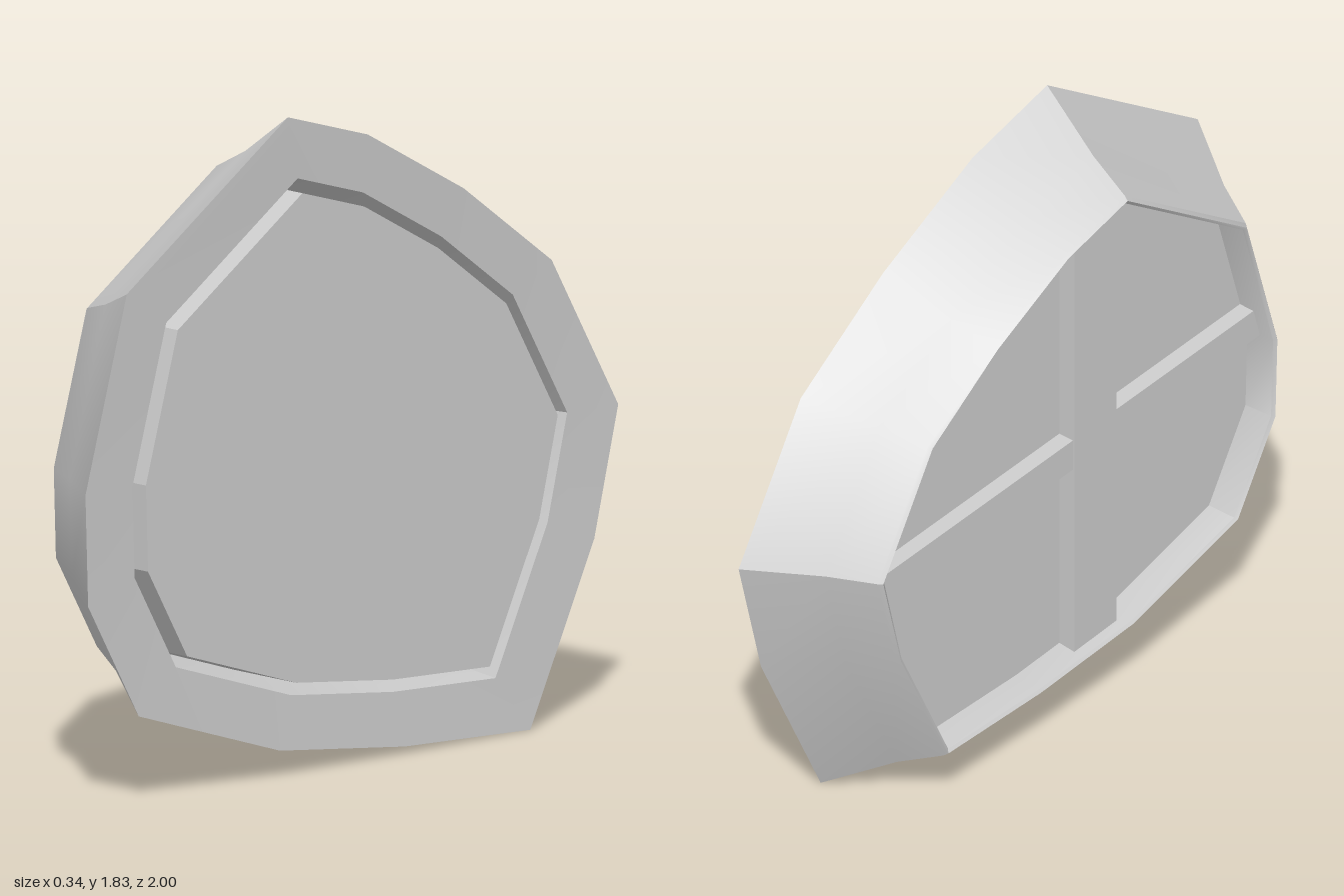
import * as THREE from 'three';
import { toCreasedNormals } from 'three/addons/utils/BufferGeometryUtils.js';

// Window outline as [z, y], seen from +x
const OUTLINE = [
  [0.24, 1.83], [-0.06, 1.74], [-0.42, 1.54], [-0.75, 1.295], [-1, 0.86],
  [-0.91, 0.5], [-0.67, 0.005], [-0.2, 0.025], [0.27, 0.08], [0.8, 0.25],
  [0.99, 0.58], [1, 0.89], [0.845, 1.425],
];
const CENTRE_Y = 0.87;
const PANE_SCALE = 0.773;

const scaled = (s) => OUTLINE.map(([z, y]) => [z * s, CENTRE_Y + (y - CENTRE_Y) * s]);

// Closed ring swept through [x, scale] sections of the outline
function ringGeometry(profile) {
  const n = OUTLINE.length;
  const m = profile.length;
  const positions = [];
  const index = [];
  for (const [x, s] of profile) {
    for (const [z, y] of scaled(s)) positions.push(x, y, z);
  }
  for (let i = 0; i < m; i++) {
    for (let j = 0; j < n; j++) {
      const a = i * n + j;
      const b = i * n + ((j + 1) % n);
      const d = ((i + 1) % m) * n + j;
      const c = ((i + 1) % m) * n + ((j + 1) % n);
      index.push(a, b, d, b, c, d);
    }
  }
  const geometry = new THREE.BufferGeometry();
  geometry.setAttribute('position', new THREE.Float32BufferAttribute(positions, 3));
  geometry.setIndex(index);
  return toCreasedNormals(geometry, 0.55);
}

// Flat plate with a [z, y] outline, spanning x0 to x1
function plateGeometry(points, x0, x1) {
  const shape = new THREE.Shape(points.map(([z, y]) => new THREE.Vector2(-z, y)));
  const geometry = new THREE.ExtrudeGeometry(shape, { depth: x1 - x0, bevelEnabled: false });
  return geometry.rotateY(Math.PI / 2).translate(x0, 0, 0);
}

export function createModel() {
  const group = new THREE.Group();
  group.name = 'window';
  const material = new THREE.MeshStandardMaterial({ color: 0xcccccc });
  const add = (name, geometry) => {
    const mesh = new THREE.Mesh(geometry, material);
    mesh.name = name;
    group.add(mesh);
  };

  // Flared frame: outer flank, thin rounded back lip, inner wall
  add('frame', ringGeometry([
    [0.17, 1], [-0.03, 0.868], [-0.16, 0.802], [-0.172, 0.792],
    [-0.165, 0.782], [-0.08, 0.772], [0.162, 0.816],
  ]));

  // Pane standing inside the frame
  add('pane', plateGeometry(scaled(PANE_SCALE), -0.08, 0.17));

  // Crossing bars on the back of the pane
  add('uprightBar', plateGeometry(
    [[0.016, 1.56], [0.185, 1.605], [0.185, 0.25], [0.016, 0.225]], -0.135, -0.07));
  add('crossBar', plateGeometry(
    [[-0.742, 0.75], [-0.765, 0.845], [0.742, 0.985], [0.767, 0.895]], -0.13, -0.07));

  return group;
}
